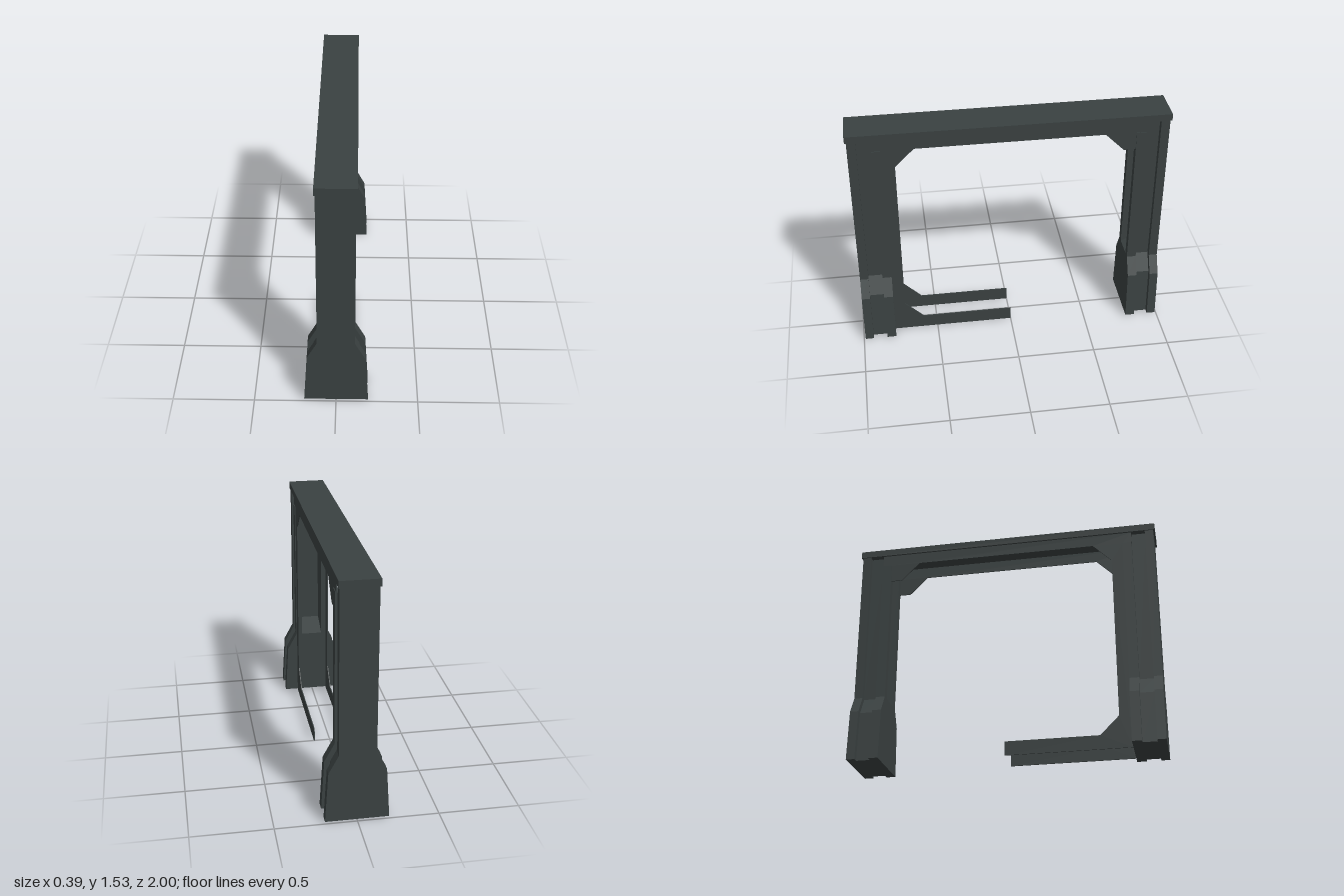
import * as THREE from 'three';

const darkSteel = new THREE.MeshStandardMaterial({ color: 0x3a4141 });
darkSteel.name = 'darkSteel';

const BASE = 0.008, CAP_Y = 1.49, CAP_TOP = 1.535;
const CHANNEL = 0.07, CHANNEL_FLOOR = 0.45;

function shapeOf(points) {
  return new THREE.Shape(points.map(([x, y]) => new THREE.Vector2(x, y)));
}

function extrude(points, depth) {
  return new THREE.ExtrudeGeometry(shapeOf(points), { depth, bevelEnabled: false });
}

// Extrudes a (z, y) outline along x, centred on the given x
function extrudeSideways(points, width, x = 0) {
  return extrude(points, width).rotateY(-Math.PI / 2).translate(x + width / 2, 0, 0);
}

function part(name, geometry) {
  const mesh = new THREE.Mesh(geometry, darkSteel);
  mesh.name = name;
  return mesh;
}

// Column outline flaring into a wide foot; the channel cuts the shaft into two strips
function columnOutline(inset, top, withChannel) {
  const side = [
    [0.195 - inset, BASE], [0.175 - inset, 0.335], [0.113 - inset, 0.45], [0.113 - inset, top],
  ];
  if (withChannel) side.push([CHANNEL, top], [CHANNEL, CHANNEL_FLOOR]);
  const mirrored = side.map(([x, y]) => [-x, y]).reverse();
  return [...side, ...mirrored];
}

function createLeg(name) {
  const leg = new THREE.Group();
  leg.name = name;
  // outer plate, recessed web and inner plate
  leg.add(part('outerPlate', extrude(columnOutline(0, CAP_Y, false), 0.055).translate(0, 0, 0.935)));
  leg.add(part('web', extrude(columnOutline(0.035, CAP_Y, true), 0.09).translate(0, 0, 0.845)));
  leg.add(part('innerPlate', extrude(columnOutline(0, 1.415, true), 0.06).translate(0, 0, 0.785)));
  // sloping floor inside the channel
  const wedge = [[0.785, CHANNEL_FLOOR], [0.935, CHANNEL_FLOOR], [0.935, 0.52]];
  leg.add(part('channelFloor', extrudeSideways(wedge, CHANNEL * 2)));
  return leg;
}

export function createModel() {
  const model = new THREE.Group();
  model.name = 'gantryFrame';

  const backLeg = createLeg('backLeg');
  backLeg.rotation.y = Math.PI;
  model.add(createLeg('frontLeg'), backLeg);

  // top cap
  const cap = new THREE.BoxGeometry(0.24, CAP_TOP - CAP_Y, 2);
  model.add(part('topCap', cap.translate(0, (CAP_Y + CAP_TOP) / 2, 0)));

  // thin side panels: beam, corner gussets, front upright and floor arm
  const panel = [
    [0.785, 0], [0, 0], [0, 0.09], [0.59, 0.09], [0.71, 0.21],
    [0.71, 1.295], [0.59, 1.415], [-0.59, 1.415], [-0.71, 1.295], [-0.785, 1.295],
    [-0.785, 1.415], [-0.845, 1.415], [-0.845, CAP_Y], [0.845, CAP_Y], [0.845, 1.415], [0.785, 1.415],
  ];
  for (const [name, x] of [['leftPanel', 0.105], ['rightPanel', -0.105]]) {
    model.add(part(name, extrudeSideways(panel, 0.006, x)));
  }
  return model;
}
